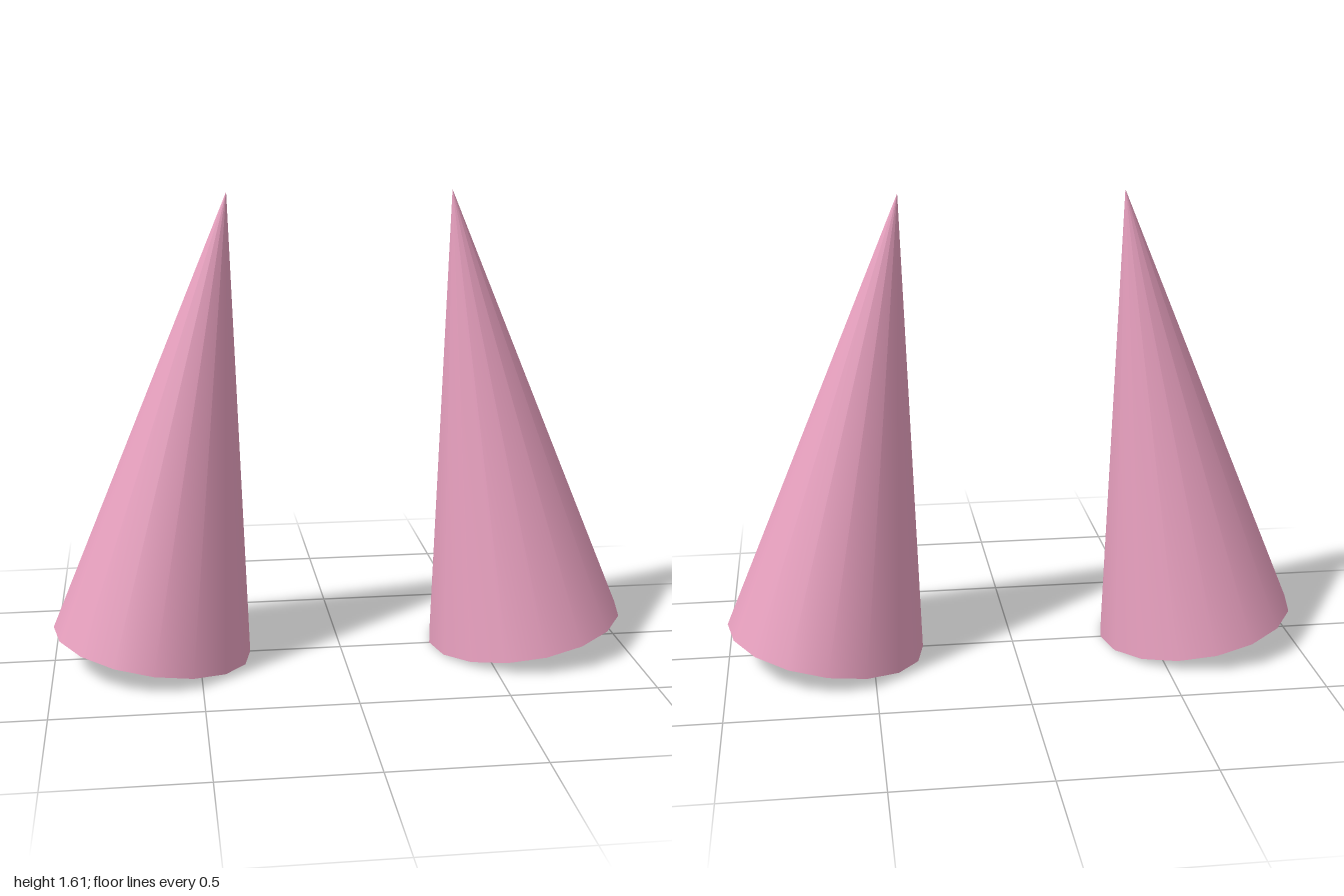
import * as THREE from 'three';

const RADIUS = 0.345, HEIGHT = 1.575, SIDES = 16, TILT = 0.18;

export function createModel() {
  const model = new THREE.Group();
  model.name = 'conePair';

  const pink = new THREE.MeshStandardMaterial({ color: 0xe8a0bf });
  pink.name = 'pink';

  // Cone with its base centre at the origin
  const cone = new THREE.ConeGeometry(RADIUS, HEIGHT, SIDES);
  cone.translate(0, HEIGHT / 2, 0);

  // Mirrored pair, tips leaning towards each other, inner rims on the ground
  for (const [name, side] of [['leftCone', 1], ['rightCone', -1]]) {
    const mesh = new THREE.Mesh(cone, pink);
    mesh.name = name;
    mesh.position.set(side * (1 - RADIUS * Math.cos(TILT)), RADIUS * Math.sin(TILT), 0);
    mesh.rotation.z = side * TILT;
    model.add(mesh);
  }
  return model;
}
